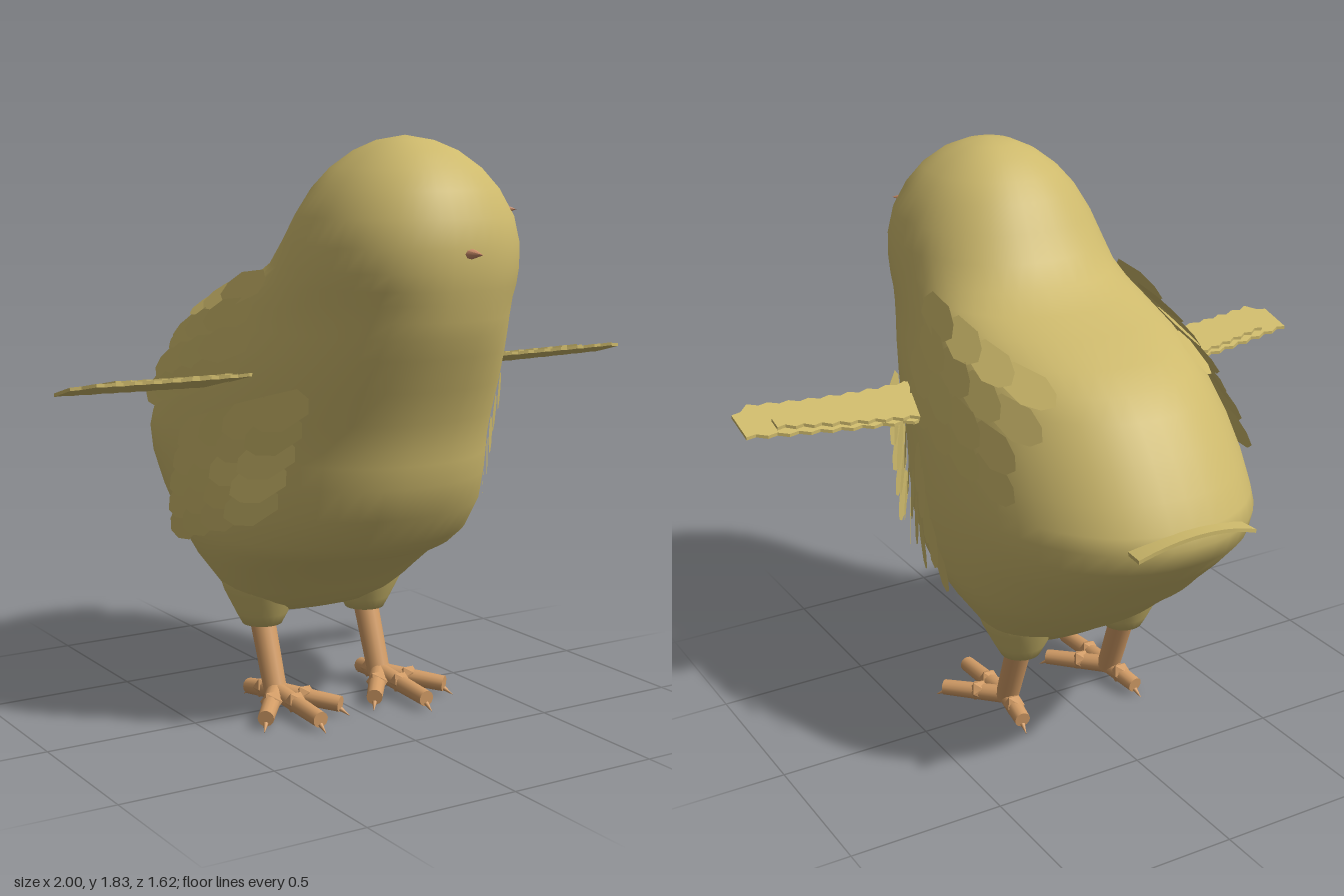
import * as THREE from 'three';
import { mergeGeometries } from 'three/addons/utils/BufferGeometryUtils.js';

const mat = (name, color, side = THREE.FrontSide) =>
  Object.assign(new THREE.MeshStandardMaterial({ color, side }), { name });

// Horizontal body sections: height, front z, back z, half width
const SECTIONS = [
  [0.31, -0.02, -0.17, 0.2], [0.35, 0.05, -0.22, 0.27], [0.4, 0.12, -0.31, 0.325],
  [0.5, 0.25, -0.43, 0.395], [0.55, 0.36, -0.5, 0.42], [0.6, 0.43, -0.55, 0.44],
  [0.7, 0.51, -0.66, 0.46], [0.8, 0.55, -0.76, 0.465], [0.87, 0.565, -0.785, 0.465],
  [0.92, 0.575, -0.77, 0.46], [1, 0.6, -0.725, 0.455], [1.1, 0.645, -0.66, 0.44],
  [1.2, 0.69, -0.58, 0.415], [1.26, 0.715, -0.51, 0.395], [1.31, 0.73, -0.42, 0.38],
  [1.36, 0.74, -0.28, 0.365], [1.4, 0.75, -0.15, 0.355], [1.45, 0.757, -0.04, 0.345],
  [1.52, 0.76, 0.03, 0.333], [1.6, 0.745, 0.085, 0.308], [1.68, 0.705, 0.135, 0.262],
  [1.74, 0.655, 0.19, 0.21], [1.79, 0.585, 0.26, 0.145], [1.82, 0.51, 0.33, 0.08],
];
const POWER = 2.2;

function bodyGeometry() {
  const n = 48, pos = [], idx = [];
  const bend = v => Math.sign(v) * Math.abs(v) ** (2 / POWER);
  for (const [y, front, back, w] of SECTIONS) {
    for (let i = 0; i < n; i++) {
      const a = (i / n) * Math.PI * 2;
      pos.push(w * bend(Math.sin(a)), y, (front + back) / 2 + ((front - back) / 2) * bend(Math.cos(a)));
    }
  }
  const rows = SECTIONS.length;
  pos.push(0, 0.31, -0.095, 0, 1.835, 0.42);
  for (let i = 0; i < n; i++) {
    const j = (i + 1) % n, top = (rows - 1) * n;
    for (let r = 0; r < rows - 1; r++) {
      const a = r * n + i, b = r * n + j;
      idx.push(a, b, b + n, a, b + n, a + n);
    }
    idx.push(rows * n, j, i, rows * n + 1, top + i, top + j);
  }
  const g = new THREE.BufferGeometry();
  g.setAttribute('position', new THREE.Float32BufferAttribute(pos, 3));
  g.setIndex(idx);
  g.computeVertexNormals();
  return g;
}

// Point on the body's flank at a given height and depth
function flank(s, y, z, lift) {
  const k = Math.max(1, SECTIONS.findIndex(r => r[0] >= y));
  const a = SECTIONS[k - 1], b = SECTIONS[k], t = (y - a[0]) / (b[0] - a[0]);
  const [f, k2, w] = [1, 2, 3].map(i => a[i] + (b[i] - a[i]) * t);
  const u = Math.min(0.97, Math.abs((z - (f + k2) / 2) / ((f - k2) / 2)));
  return new THREE.Vector3(s * (w * (1 - u ** POWER) ** (1 / POWER) + lift), y, z);
}

// Pointed flat feather lying on the flank, its tip lifted outward
function feather(s, y, z, dy, dz, length, width, lift) {
  const root = flank(s, y, z, 0.008);
  const tip = flank(s, y + dy * length, z + dz * length, lift);
  const dir = tip.clone().sub(root), len = dir.length();
  dir.normalize();
  const up = flank(s, y + 0.05, z, 0).sub(flank(s, y - 0.05, z, 0));
  const along = flank(s, y, z + 0.05, 0).sub(flank(s, y, z - 0.05, 0));
  const normal = up.cross(along).multiplyScalar(s);
  normal.addScaledVector(dir, -normal.dot(dir)).normalize();
  const h = width / 2;
  const outline = [[0, 0], [h * 0.7, 0.1], [h, 0.6], [h * 0.6, 0.88], [0, 1], [-h * 0.6, 0.88], [-h, 0.6], [-h * 0.7, 0.1]];
  const g = new THREE.ShapeGeometry(new THREE.Shape(outline.map(([x, v]) => new THREE.Vector2(x, v * len))));
  const across = dir.clone().cross(normal);
  return g.applyMatrix4(new THREE.Matrix4().makeBasis(across, dir, normal).setPosition(root));
}

function flankFeathers(s) {
  const list = [];
  // Long shoulder feathers sweeping back
  for (let i = 0; i < 4; i++) for (let j = 0; j < 4; j++)
    list.push(feather(s, 1.41 - 0.085 * i - 0.035 * j, 0.21 - 0.14 * j - 0.03 * (i % 2), -0.25, -0.97, 0.24, 0.11, 0.045));
  // Shorter breast feathers pointing down and back
  for (let i = 0; i < 5; i++) for (let j = 0; j < 4; j++)
    list.push(feather(s, 1.08 - 0.075 * i - 0.035 * j, 0.44 - 0.115 * j - 0.03 * i, -0.5, -0.86, 0.17, 0.115, 0.06));
  return mergeGeometries(list);
}

// Thin horizontal wing with notched edges
function wingGeometry(s) {
  const layer = (xEnd, frontTrim, y) => {
    const front = [], back = [], n = 20;
    for (let i = 0; i <= n; i++) {
      const t = i / n, x = 0.36 + (xEnd - 0.36) * t;
      const notch = (i % 2) * 0.012;
      const tipRound = 0.05 * Math.max(0, (t - 0.9) / 0.1);
      front.push(new THREE.Vector2(s * x, 0.235 + 0.05 * t - 0.02 * Math.sin(t * Math.PI) - notch - tipRound - frontTrim));
      back.push(new THREE.Vector2(s * x, 0.02 + 0.1 * t ** 1.3 + notch));
    }
    const g = new THREE.ExtrudeGeometry(new THREE.Shape([...front, ...back.reverse()]), { depth: 0.01, bevelEnabled: false });
    return g.rotateX(Math.PI / 2).translate(0, y, 0);
  };
  const g = mergeGeometries([layer(1, 0, 1.115), layer(0.9, 0.07, 1.127)]);
  const p = g.attributes.position;
  for (let i = 0; i < p.count; i++) p.setY(i, p.getY(i) + 0.27 * (p.getZ(i) - 0.15));
  g.computeVertexNormals();
  return g;
}

function rod(from, to, r0, r1) {
  const a = new THREE.Vector3(...from), b = new THREE.Vector3(...to), d = b.clone().sub(a);
  const g = new THREE.CylinderGeometry(r1, r0, d.length(), 14);
  g.applyQuaternion(new THREE.Quaternion().setFromUnitVectors(new THREE.Vector3(0, 1, 0), d.normalize()));
  return g.translate((a.x + b.x) / 2, (a.y + b.y) / 2, (a.z + b.z) / 2);
}

export function createModel() {
  const model = new THREE.Group();
  model.name = 'chick';
  const down = mat('yellow down', 0xcdb96c);
  const plume = mat('yellow feather', 0xcdb96b, THREE.DoubleSide);
  const skin = mat('orange skin', 0xd29c66);
  const horn = mat('pink horn', 0xcf906c);
  const add = (name, geometry, material, parent = model) => {
    const m = new THREE.Mesh(geometry, material);
    m.name = name;
    parent.add(m);
    return m;
  };

  add('body', bodyGeometry(), down);

  // Beak and the small eye
  const beak = new THREE.ConeGeometry(0.03, 0.075, 8).rotateX(Math.PI / 2).scale(1, 0.7, 1);
  add('beak', beak, horn).position.set(0, 1.505, 0.775);
  const eye = add('eye', new THREE.ConeGeometry(0.016, 0.04, 8).rotateX(Math.PI / 2), horn);
  eye.position.set(0.232, 1.62, 0.625);
  eye.rotation.y = 0.8;

  // Arched tail fan
  const tail = new THREE.BoxGeometry(0.41, 0.012, 0.24, 16, 1, 4);
  const p = tail.attributes.position;
  for (let i = 0; i < p.count; i++) {
    const x = p.getX(i), z = p.getZ(i), q = (x / 0.205) ** 2;
    p.setXYZ(i, x * (1 - (z + 0.12) * 0.4), p.getY(i) + 0.92 - 0.04 * q, z - 0.69 + 0.015 * q);
  }
  tail.computeVertexNormals();
  add('tail', tail, plume);

  for (const s of [1, -1]) {
    const side = s > 0 ? 'left' : 'right';
    add(side + 'FlankFeathers', flankFeathers(s), plume);
    add(side + 'Wing', wingGeometry(s), plume);

    // Thigh blending into the belly
    const profile = [[0, 0.26], [0.065, 0.263], [0.085, 0.3], [0.125, 0.38], [0.15, 0.46], [0.12, 0.55], [0, 0.6]];
    const thigh = new THREE.LatheGeometry(profile.map(v => new THREE.Vector2(...v)), 24);
    add(side + 'Thigh', thigh, down).position.set(s * 0.198, 0, -0.1);

    // Leg, toes and knuckles
    const leg = new THREE.Group();
    leg.name = side + 'Leg';
    model.add(leg);
    add('shank', rod([s * 0.2, 0.3, -0.105], [s * 0.2, 0.05, -0.01], 0.042, 0.038), skin, leg);
    for (const [x, z] of [[0.2, 0.27], [0.34, 0.17], [0.065, 0.17], [0.22, -0.15]]) {
      add('toe', rod([s * 0.2, 0.055, -0.01], [s * x, 0.036, z], 0.03, 0.026), skin, leg);
      const knuckle = add('knuckle', new THREE.IcosahedronGeometry(0.036, 0), skin, leg);
      knuckle.position.set(s * (0.2 + (x - 0.2) * 0.45), 0.05, -0.01 + (z + 0.01) * 0.45);
      const out = new THREE.Vector2(x - 0.2, z + 0.01).normalize();
      add('claw', rod([s * x, 0.02, z], [s * (x + out.x * 0.03), 0.002, z + out.y * 0.03], 0.008, 0.001), skin, leg);
    }
  }
  return model;
}
